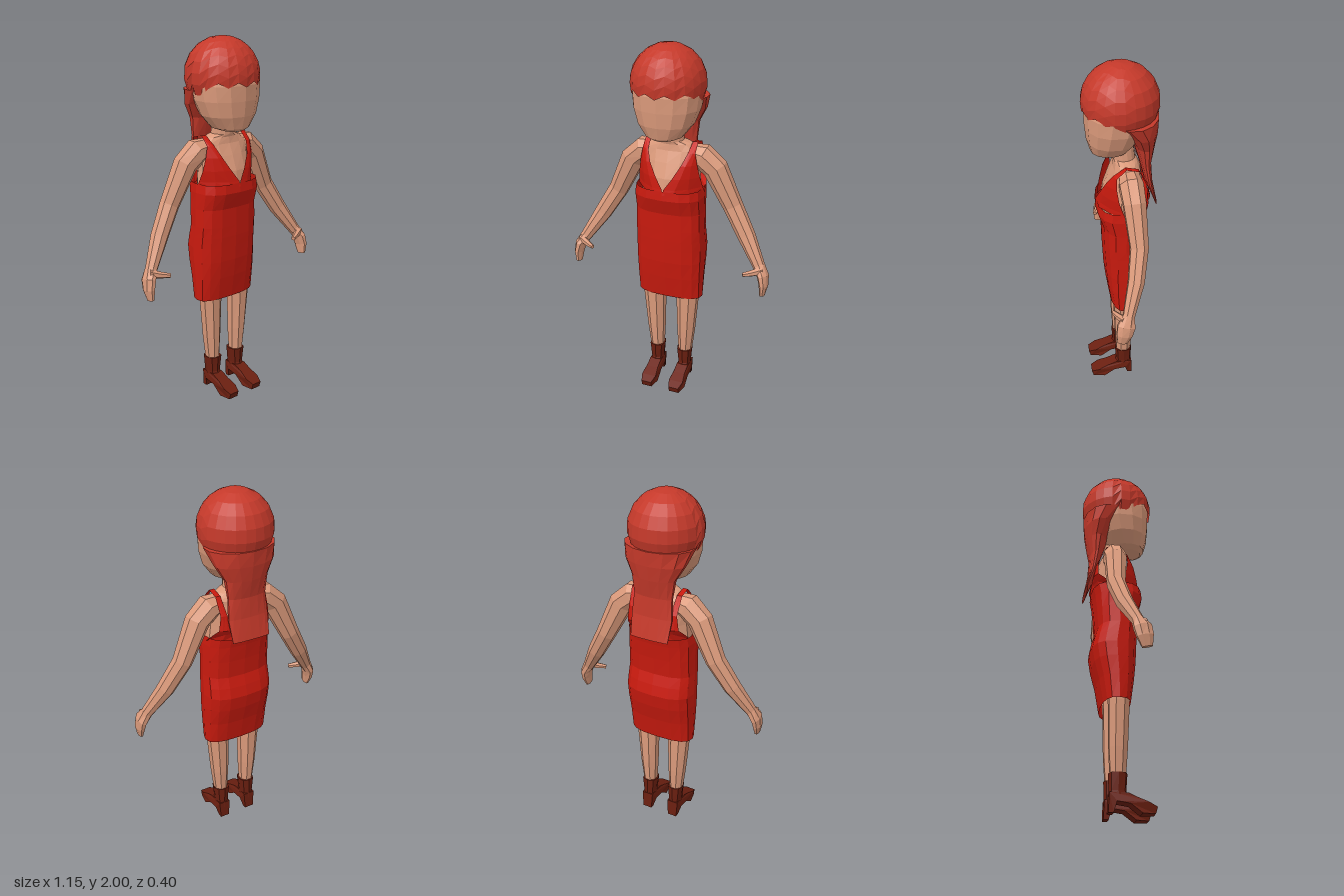
import * as THREE from 'three';

const V = (x, y, z) => new THREE.Vector3(x, y, z);
const material = (color) => new THREE.MeshStandardMaterial({ color, flatShading: true, side: THREE.DoubleSide });
const skin = material(0xdb9a7b), red = material(0xc81a0e), hairRed = material(0xc5392a), brown = material(0x6b1f10);

// Joins rows of points into a surface, wrapping around and capping when closed
function surface(rows, closed, caps = false) {
  const n = rows[0].length, pos = rows.flat().flatMap((p) => [p.x, p.y, p.z]), idx = [];
  for (let r = 0; r < rows.length - 1; r++) {
    for (let i = 0; i < (closed ? n : n - 1); i++) {
      const j = (i + 1) % n, a = r * n, b = a + n;
      idx.push(a + i, a + j, b + j, a + i, b + j, b + i);
    }
  }
  if (caps) {
    const t = (rows.length - 1) * n;
    for (let i = 1; i < n - 1; i++) idx.push(0, i + 1, i, t, t + i, t + i + 1);
  }
  const g = new THREE.BufferGeometry();
  g.setAttribute('position', new THREE.Float32BufferAttribute(pos, 3));
  g.setIndex(idx);
  g.computeVertexNormals();
  return g;
}

const pw = (v, e) => Math.sign(v) * Math.abs(v) ** e;

// Upright loft, rows upwards: [y, half width, z front, z back]
function stack(rows, n = 12, cx = 0, e = 1, caps = true) {
  return surface(rows.map(([y, w, f, b]) => Array.from({ length: n }, (_, i) => {
    const a = (i / n) * Math.PI * 2;
    return V(cx + w * pw(Math.sin(a), e), y, (f + b) / 2 + ((f - b) / 2) * pw(Math.cos(a), e));
  })), true, caps);
}

// Limb along a path: [x, y, z, radius across, radius towards z], mirrored by s
function limb(path, s, n = 8) {
  const c = path.map((p) => V(s * p[0], p[1], p[2]));
  return surface(path.map((p, k) => {
    const d = c[Math.min(k + 1, c.length - 1)].clone().sub(c[Math.max(k - 1, 0)]).normalize();
    const u = d.clone().cross(V(0, 0, 1)).normalize(), v = u.clone().cross(d);
    return Array.from({ length: n }, (_, i) => {
      const a = ((i + 0.5) / n) * Math.PI * 2;
      return c[k].clone().addScaledVector(u, p[3] * Math.sin(a)).addScaledVector(v, p[4] * Math.cos(a));
    });
  }), true, true);
}

// Scalp hair: a dome whose lower edge follows a ragged fringe and drops at the sides
function hairCap() {
  const n = 24, rows = [], cy = 1.8, r = 0.2;
  for (let k = 0; k <= 7; k++) {
    rows.push(Array.from({ length: n }, (_, i) => {
      const a = (i / n) * Math.PI * 2, side = (1 - Math.cos(a)) / 2;
      const fringe = 1.765 + (i % 2 ? 0.013 : -0.012);
      const edge = side < 0.3 ? fringe : side < 0.55 ? 1.71 : 1.66;
      const phi = 0.001 + (k / 7) * Math.acos((edge - cy) / r);
      return V(-0.015 + r * Math.sin(phi) * Math.sin(a), cy + r * Math.cos(phi), r * Math.sin(phi) * Math.cos(a));
    }));
  }
  return surface(rows.reverse(), true);
}

// Bodice half: rows [y, inner x, outer x, inner z, outer z] over the shoulder to the back
function bodice(s) {
  const rows = [
    [1.22, 0, 0.19, 0.137, 0.0], [1.25, 0.004, 0.183, 0.13, 0.01], [1.31, 0.045, 0.172, 0.113, 0.03],
    [1.38, 0.085, 0.16, 0.088, 0.04], [1.44, 0.11, 0.148, 0.052, 0.038], [1.49, 0.118, 0.147, -0.01, -0.01],
    [1.475, 0.118, 0.147, -0.075, -0.075], [1.38, 0.105, 0.142, -0.125, -0.12],
    [1.3, 0.09, 0.152, -0.142, -0.12], [1.27, 0, 0.17, -0.145, -0.09], [1.22, 0, 0.185, -0.143, -0.04],
  ];
  return surface(rows.map(([y, xi, xo, zi, zo]) => [0, 0.33, 0.67, 1].map((t) =>
    V(s * (xi + (xo - xi) * t), y, zo + (zi - zo) * (1 - t * t)))), false);
}

// Heeled boot foot: side outline extruded, then narrowed at the heel and toe
function foot() {
  const outline = [[-0.05, 0.1], [-0.054, 0], [-0.027, 0], [-0.012, 0.055], [0.055, 0.045], [0.115, 0],
    [0.182, 0], [0.192, 0.035], [0.15, 0.055], [0.095, 0.078], [0.045, 0.1]];
  const shape = new THREE.Shape(outline.map(([z, y]) => new THREE.Vector2(z, y)));
  const g = new THREE.ExtrudeGeometry(shape, { depth: 0.084, bevelEnabled: false });
  g.translate(0, 0, -0.042).rotateY(-Math.PI / 2);
  const p = g.attributes.position;
  for (let i = 0; i < p.count; i++) {
    const y = p.getY(i), z = p.getZ(i);
    const k = z > 0.17 ? 0.7 : z < 0 && y < 0.05 ? 0.65 : y > 0.07 ? 0.8 : 1;
    p.setX(i, p.getX(i) * k);
  }
  g.computeVertexNormals();
  return g;
}

export function createModel() {
  const model = new THREE.Group();
  const add = (name, geometry, mat) => {
    const mesh = new THREE.Mesh(geometry, mat);
    mesh.name = name;
    model.add(mesh);
    return mesh;
  };

  // Head and hair
  add('head', stack([
    [1.52, 0.06, 0.14, 0.0], [1.535, 0.1, 0.158, -0.04], [1.6, 0.15, 0.176, -0.09], [1.68, 0.178, 0.184, -0.13],
    [1.76, 0.187, 0.187, -0.16], [1.85, 0.17, 0.165, -0.15],
  ], 14, -0.012, 0.9), skin);
  add('hair', hairCap(), hairRed);
  add('longBackHair', stack([
    [1.24, 0.112, -0.168, -0.185], [1.36, 0.12, -0.12, -0.162], [1.47, 0.112, -0.092, -0.156],
    [1.57, 0.125, -0.06, -0.176], [1.65, 0.17, -0.01, -0.188], [1.73, 0.196, 0.09, -0.194],
  ], 14, -0.008), hairRed);

  // Torso and neck
  add('torso', stack([
    [1.08, 0.165, 0.08, -0.095], [1.22, 0.165, 0.112, -0.12], [1.3, 0.158, 0.1, -0.12], [1.38, 0.16, 0.07, -0.11],
    [1.44, 0.165, 0.045, -0.1], [1.475, 0.11, 0.04, -0.085], [1.49, 0.065, 0.045, -0.075], [1.58, 0.058, 0.05, -0.065],
  ], 14), skin);

  // Dress, open at the hem
  add('dress', stack([
    [0.57, 0.188, 0.068, -0.085], [0.7, 0.193, 0.087, -0.108], [0.8, 0.197, 0.098, -0.135], [0.88, 0.198, 0.102, -0.148],
    [0.94, 0.196, 0.105, -0.135], [1.0, 0.194, 0.106, -0.117], [1.1, 0.192, 0.108, -0.124], [1.19, 0.192, 0.138, -0.135],
    [1.24, 0.186, 0.133, -0.145],
  ], 16, -0.003, 0.75, false), red);

  for (const s of [1, -1]) {
    const side = s > 0 ? 'left' : 'right';
    add(side + 'Bodice', bodice(s), red);

    // Arm, hand and thumb
    add(side + 'Arm', limb([
      [0.07, 1.425, -0.03, 0.045, 0.05], [0.165, 1.405, -0.032, 0.073, 0.066], [0.235, 1.345, -0.038, 0.07, 0.062],
      [0.335, 1.14, -0.05, 0.056, 0.05], [0.425, 0.99, -0.022, 0.05, 0.045], [0.52, 0.84, 0.03, 0.033, 0.032],
    ], s), skin);
    add(side + 'Hand', limb([
      [0.515, 0.85, 0.027, 0.033, 0.032], [0.545, 0.8, 0.045, 0.03, 0.05], [0.553, 0.75, 0.055, 0.024, 0.045],
      [0.55, 0.695, 0.066, 0.014, 0.028],
    ], s), skin);
    add(side + 'Thumb', limb([
      [0.54, 0.835, 0.05, 0.024, 0.022], [0.49, 0.822, 0.075, 0.018, 0.018], [0.445, 0.815, 0.098, 0.012, 0.013],
    ], s, 6), skin);

    // Leg and boot
    const x = s * 0.085;
    add(side + 'Leg', limb([
      [0.086, 0.17, -0.003, 0.038, 0.042], [0.092, 0.33, -0.003, 0.052, 0.052], [0.1, 0.57, 0, 0.066, 0.058],
      [0.1, 0.85, 0, 0.075, 0.07],
    ], s), skin);
    add(side + 'BootShaft', stack([
      [0.065, 0.036, 0.06, -0.052], [0.11, 0.036, 0.04, -0.05], [0.2, 0.046, 0.046, -0.052],
    ], 8, x, 0.8), brown);
    add(side + 'BootFoot', foot(), brown).position.x = x;
  }
  return model;
}
